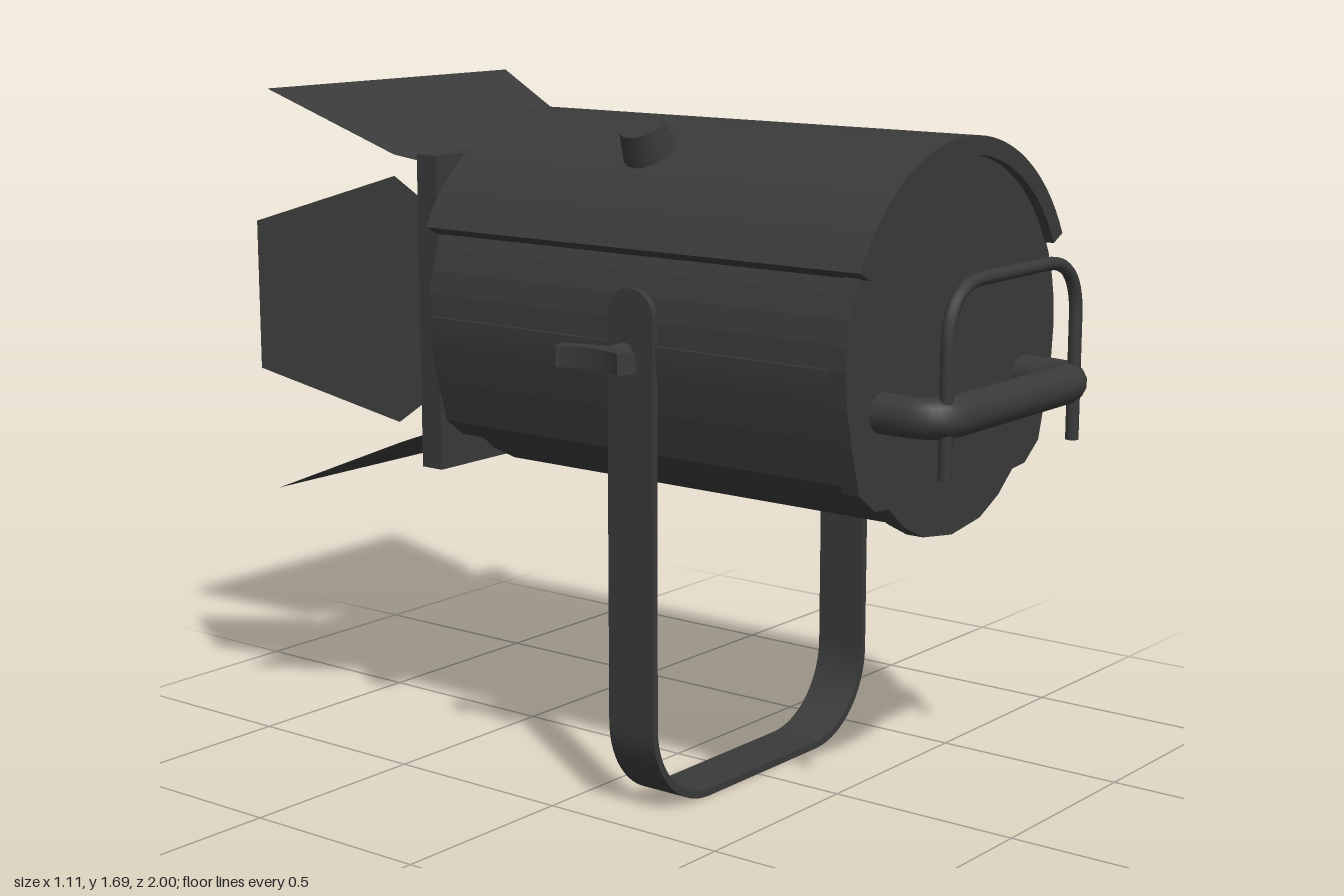
import * as THREE from 'three';

const CX = 0.025, CY = 1.155; // lamp axis
const dark = new THREE.MeshStandardMaterial({ color: 0x3a3a3a });
const sheet = new THREE.MeshStandardMaterial({ color: 0x3a3a3a, side: THREE.DoubleSide });
const glass = new THREE.MeshStandardMaterial({ color: 0xcccccc, flatShading: true });

export function createModel() {
  const model = new THREE.Group();
  const lamp = new THREE.Group();
  lamp.name = 'lamp';
  lamp.position.set(CX, CY, 0);
  model.add(lamp);

  const add = (name, geo, parent = lamp, mat = dark) => {
    const m = new THREE.Mesh(geo, mat);
    m.name = name;
    parent.add(m);
    return m;
  };
  const V = (x, y, z) => new THREE.Vector3(x, y, z);
  const extrudeZ = (shape, z0, z1, curveSegments = 16) =>
    new THREE.ExtrudeGeometry(shape, { depth: z1 - z0, bevelEnabled: false, curveSegments }).translate(0, 0, z0);
  const arcBand = (r0, r1, a0, a1) => {
    const s = new THREE.Shape();
    s.absarc(0, 0, r1, a0, a1, false);
    s.absarc(0, 0, r0, a1, a0, true);
    return s;
  };

  // Housing section: round above, with a stepped cove on each lower side
  const lower = [[0, -0.432], [0.12, -0.415], [0.2, -0.375], [0.26, -0.325], [0.315, -0.32],
    [0.375, -0.275], [0.405, -0.17], [0.425, -0.08]];
  const section = (k) => {
    const pts = lower.map(([x, y]) => new THREE.Vector2(x * k, y * k));
    for (let i = 0; i <= 24; i++) {
      const a = (i / 24) * Math.PI;
      pts.push(new THREE.Vector2(0.432 * k * Math.cos(a), 0.432 * k * Math.sin(a)));
    }
    lower.slice(1).reverse().forEach(([x, y]) => pts.push(new THREE.Vector2(-x * k, y * k)));
    return new THREE.Shape(pts);
  };
  add('housing', extrudeZ(section(1), -0.47, 0.76));
  add('endPlate', extrudeZ(section(1.045), 0.755, 0.8));
  add('topCover', extrudeZ(arcBand(0.445, 0.49, 0.47, Math.PI - 0.47), -0.47, 0.825));
  // Raised panels along the sides
  add('sidePanelLeft', extrudeZ(arcBand(0.41, 0.442, -0.22, 0.0), -0.46, 0.755));
  add('sidePanelRight', extrudeZ(arcBand(0.41, 0.442, Math.PI, Math.PI + 0.22), -0.46, 0.755));

  // Square lens frame with a round opening
  const frame = new THREE.Shape([[-0.397, -0.4], [0.397, -0.4], [0.397, 0.395], [-0.397, 0.395]]
    .map((p) => new THREE.Vector2(...p)));
  const hole = new THREE.Path();
  hole.absarc(0, 0, 0.365, 0, Math.PI * 2, true);
  frame.holes.push(hole);
  add('lensFrame', extrudeZ(frame, -0.535, -0.47));
  add('lensRing', new THREE.TorusGeometry(0.36, 0.014, 8, 32)).position.z = -0.535;
  for (const sx of [-1, 1]) for (const sy of [-1, 1]) {
    add('frameBolt', new THREE.CylinderGeometry(0.014, 0.014, 0.025, 10).rotateX(Math.PI / 2))
      .position.set(sx * 0.335, sy * 0.345, -0.54);
  }

  // Domed lens
  const lens = add('lens', new THREE.SphereGeometry(0.35, 24, 9, 0, Math.PI * 2, 0, Math.PI / 2)
    .rotateX(-Math.PI / 2), lamp, glass);
  lens.scale.z = 0.58;
  lens.position.z = -0.45;

  // Four barn doors: [half width, distance from axis, z] per row
  const door = (rows) => {
    const pos = rows.flatMap(([w, r, z]) => [-w, r, z, w, r, z]);
    const g = new THREE.BufferGeometry();
    g.setAttribute('position', new THREE.Float32BufferAttribute(pos, 3));
    g.setIndex([0, 1, 2, 1, 3, 2, 2, 3, 4, 3, 5, 4]);
    g.computeVertexNormals();
    return g;
  };
  const wide = [[0.25, 0.33, -0.55], [0.37, 0.371, -0.64], [0.458, 0.525, -1]];
  const narrow = [[0.24, 0.33, -0.55], [0.317, 0.37, -0.64], [0.192, 0.522, -0.985]];
  ['top', 'right', 'bottom', 'left'].forEach((side, i) => {
    const flap = new THREE.Group();
    flap.name = side + 'BarnDoor';
    flap.position.y = 0.015;
    flap.rotation.z = (i * Math.PI) / 2;
    lamp.add(flap);
    add('flap', door(i % 2 ? narrow : wide), flap, sheet);
    add('hinge', new THREE.BoxGeometry(0.3, 0.03, 0.025), flap).position.set(0, 0.335, -0.542);
  });

  // Rear grab bar, a U lying flat
  const bar = new THREE.CurvePath();
  const arch = (w, r, start, end, map) => {
    const p = new THREE.CurvePath();
    const k = (x, y) => map(x, y);
    p.add(new THREE.LineCurve3(k(-w, start), k(-w, end - r)));
    p.add(new THREE.QuadraticBezierCurve3(k(-w, end - r), k(-w, end), k(-w + r, end)));
    p.add(new THREE.LineCurve3(k(-w + r, end), k(w - r, end)));
    p.add(new THREE.QuadraticBezierCurve3(k(w - r, end), k(w, end), k(w, end - r)));
    p.add(new THREE.LineCurve3(k(w, end - r), k(w, start)));
    return p;
  };
  bar.add(arch(0.308, 0.075, 0.78, 0.95, (x, z) => V(x, -0.11, z)));
  add('grabBar', new THREE.TubeGeometry(bar.curves[0], 80, 0.048, 14));
  // Thin upright loop through the grab bar
  const loop = arch(0.283, 0.14, -0.245, 0.19, (x, y) => V(x, y, 0.955));
  add('uprightLoop', new THREE.TubeGeometry(loop, 80, 0.016, 10));
  for (const s of [-1, 1]) {
    add('loopEnd', new THREE.CylinderGeometry(0.016, 0.016, 0.01, 10)).position.set(s * 0.283, -0.243, 0.955);
  }

  // Tapered knob standing off the cover
  const knob = add('coverKnob', new THREE.CylinderGeometry(0.054, 0.076, 0.12, 16));
  knob.position.set(-0.243, 0.438, 0.08);
  knob.rotation.z = 0.5;

  // Yoke: flat strap bent to a U
  const yoke = new THREE.Group();
  yoke.name = 'yoke';
  yoke.position.set(CX, 0, 0);
  model.add(yoke);
  const W = 0.452, R = 0.225, T = 0.018, TOP = 1.22;
  const strap = new THREE.Shape();
  strap.moveTo(-W, TOP);
  strap.lineTo(-W, R);
  strap.absarc(-W + R, R, R, Math.PI, Math.PI * 1.5, false);
  strap.absarc(W - R, R, R, Math.PI * 1.5, Math.PI * 2, false);
  strap.lineTo(W, TOP);
  strap.lineTo(W - T, TOP);
  strap.absarc(W - R, R, R - T, Math.PI * 2, Math.PI * 1.5, true);
  strap.absarc(-W + R, R, R - T, Math.PI * 1.5, Math.PI, true);
  strap.lineTo(-W + T, TOP);
  add('strap', extrudeZ(strap, 0.122, 0.258, 12), yoke);
  for (const s of [-1, 1]) {
    add('strapEnd', new THREE.CylinderGeometry(0.068, 0.068, T, 24).rotateZ(Math.PI / 2), yoke)
      .position.set(s * (W - T / 2), TOP, 0.19);
    add('pivot', new THREE.CylinderGeometry(0.03, 0.03, 0.06, 14).rotateZ(Math.PI / 2), yoke)
      .position.set(s * 0.42, 1.135, 0.18);
  }

  // Wing screw on the right side
  const screw = new THREE.Group();
  screw.name = 'wingScrew';
  screw.position.set(-0.42, 1.135, 0.175);
  model.add(screw);
  add('shaft', new THREE.CylinderGeometry(0.023, 0.023, 0.09, 14).rotateZ(Math.PI / 2), screw).position.x = -0.04;
  const wing = extrudeZ(arcBand(0.2, 0.245, -0.48, 0.48), -0.025, 0.025).rotateX(Math.PI / 2);
  add('wing', wing, screw).position.x = -0.325;

  return model;
}
